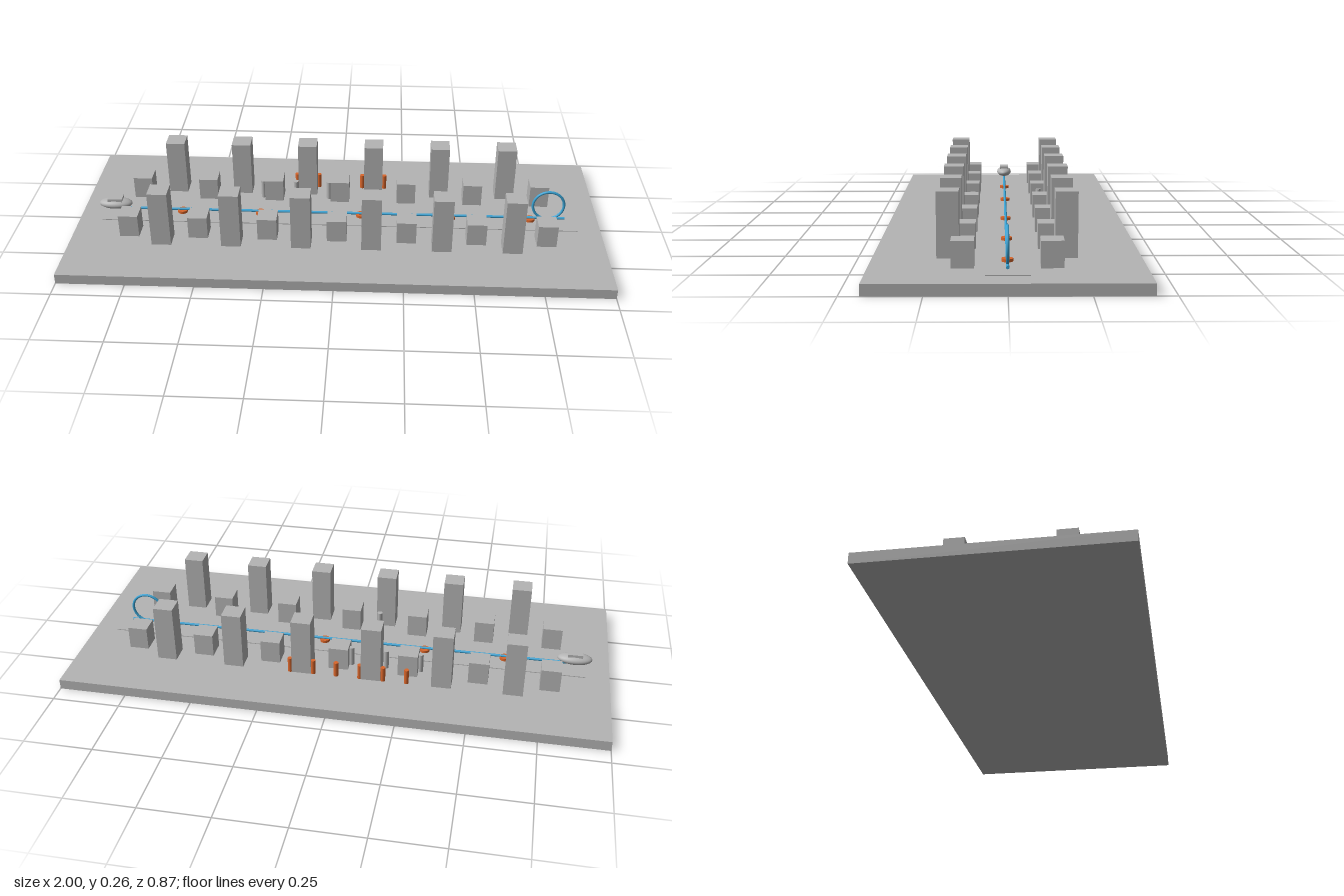
import * as THREE from 'three';

const mat = (name, color) => {
  const m = new THREE.MeshStandardMaterial({ color });
  m.name = name;
  return m;
};

export function createModel() {
  const model = new THREE.Group();
  model.name = 'cityBoard';
  const grey = mat('concrete grey', 0xb4b4b4);
  const blue = mat('track blue', 0x3aa3d4);
  const orange = mat('marker orange', 0xd9662b);
  const GROUND = 0.038;

  const add = (name, geometry, material, x, y, z) => {
    const mesh = new THREE.Mesh(geometry, material);
    mesh.name = name;
    mesh.position.set(x, y, z);
    model.add(mesh);
    return mesh;
  };
  // Upright pole standing on the ground
  const pole = (name, r, h, material, x, z) =>
    add(name, new THREE.CylinderGeometry(r, r, h, 20), material, x, GROUND + h / 2, z);

  // Base slab and the thin road plate down its middle
  add('baseSlab', new THREE.BoxGeometry(2, GROUND, 0.87), grey, 0, GROUND / 2, 0);
  add('roadPlate', new THREE.BoxGeometry(1.826, 0.003, 0.138), grey, 0, GROUND + 0.0015, 0);

  // Alternating low and tall buildings, mirrored across the road
  for (let i = 0; i < 13; i++) {
    const tall = i % 2 === 1;
    const h = tall ? 0.218 : 0.087;
    for (const side of [-1, 1]) {
      add(tall ? 'tower' : 'lowBuilding', new THREE.BoxGeometry(0.073, h, 0.073), grey,
        (i - 6) * 0.1304, GROUND + h / 2, side * (tall ? 0.191 : 0.14));
    }
  }

  // Blue rail with the upright ring near its end
  const rail = add('rail', new THREE.CylinderGeometry(0.005, 0.005, 1.74, 16), blue, 0, 0.053, 0);
  rail.rotation.z = Math.PI / 2;
  add('ring', new THREE.TorusGeometry(0.059, 0.005, 14, 56), blue, 0.804, 0.109, 0);

  // Orange discs under the rail
  for (const x of [-0.61, -0.305, 0.086, 0.433, 0.738]) pole('railDisc', 0.019, 0.013, orange, x, 0);

  // Row of orange posts behind the rear buildings
  for (const x of [-0.263, -0.176, -0.089, 0, 0.086, 0.174]) pole('rearPost', 0.0088, 0.058, orange, x, -0.22);

  // Grey posts beside the road
  for (const [x, z] of [[-0.305, -0.133], [-0.175, -0.133], [-0.044, -0.133], [-0.11, 0.128]]) {
    pole('roadPost', 0.01, 0.074, grey, x, z);
  }

  // Oval vehicle with a cabin on top
  const hull = add('vehicleHull', new THREE.SphereGeometry(1, 32, 20), grey, -0.87, 0.074, 0);
  hull.scale.set(0.064, 0.02, 0.032);
  add('vehicleCabin', new THREE.BoxGeometry(0.056, 0.026, 0.038), grey, -0.87, 0.087, 0);

  return model;
}
